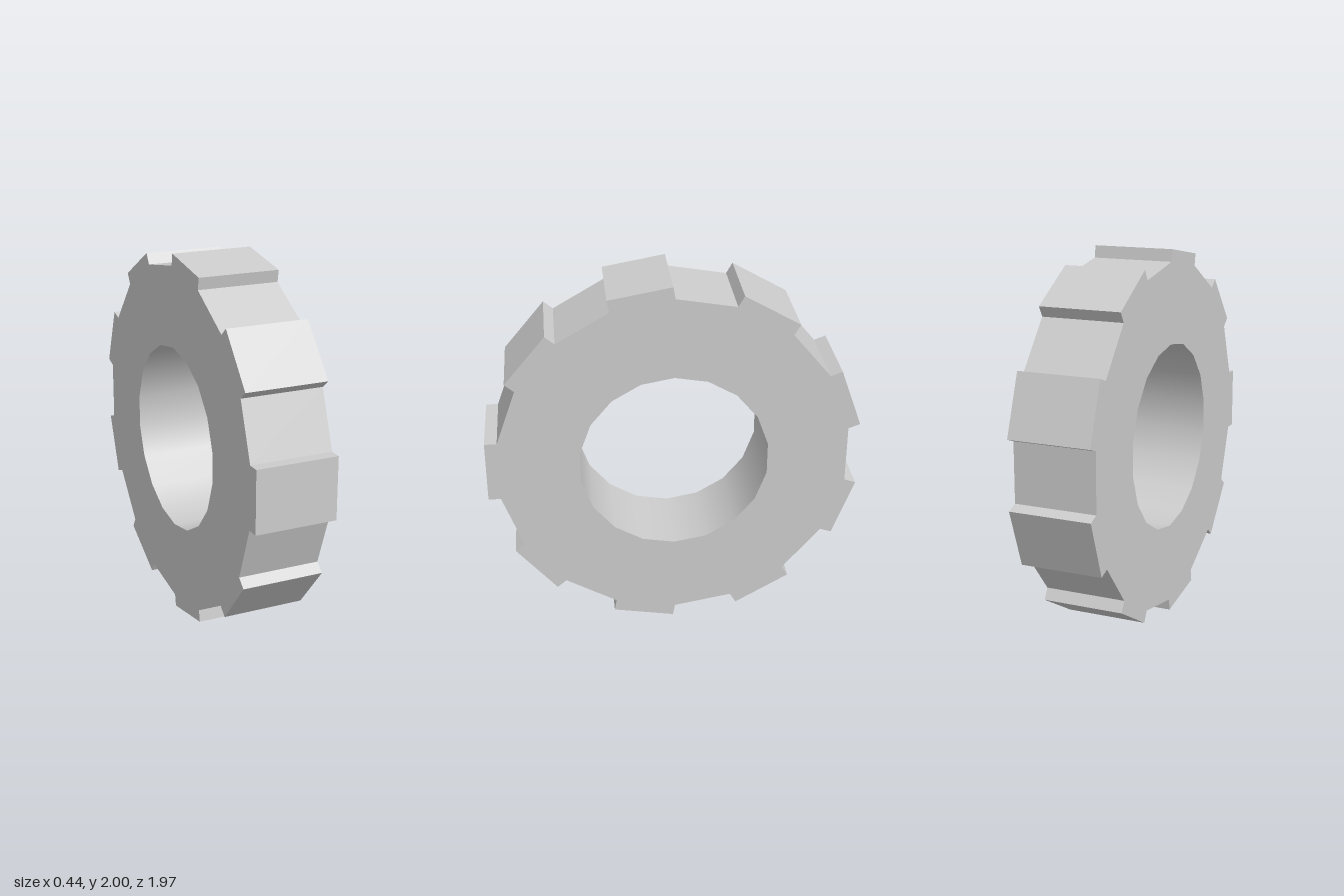
import * as THREE from 'three';

const TEETH = 9;
const HOLE_SIDES = 18;
const HOLE_RADIUS = 0.503;
const ROOT = 0.921;      // distance of the tooth foot from the axle
const TIP = 0.986;       // distance of the flat tooth top
const HALF_TOOTH = 0.167;
const WIDTH = 0.44;

export function createModel() {
  const group = new THREE.Group();
  group.name = 'toothedWheel';

  // Outline: square-sided teeth joined by straight gaps
  const outline = [];
  for (let i = 0; i < TEETH; i++) {
    const angle = (i / TEETH) * Math.PI * 2;
    for (const [r, s] of [[ROOT, -1], [TIP, -1], [TIP, 1], [ROOT, 1]]) {
      outline.push(new THREE.Vector2(r, s * HALF_TOOTH).rotateAround(new THREE.Vector2(), angle));
    }
  }
  const shape = new THREE.Shape(outline);

  // Axle hole, with a flat facing front and back
  const hole = [];
  for (let i = 0; i < HOLE_SIDES; i++) {
    const a = -((i + 0.5) / HOLE_SIDES) * Math.PI * 2;
    hole.push(new THREE.Vector2(Math.cos(a), Math.sin(a)).multiplyScalar(HOLE_RADIUS));
  }
  shape.holes.push(new THREE.Path(hole));

  const geometry = new THREE.ExtrudeGeometry(shape, { depth: WIDTH, bevelEnabled: false });
  geometry.translate(0, 0, -WIDTH / 2);

  // Smooth shading on the hole wall only
  const pos = geometry.attributes.position;
  const nor = geometry.attributes.normal;
  for (let i = 0; i < pos.count; i++) {
    const r = Math.hypot(pos.getX(i), pos.getY(i));
    if (r < 0.6 && Math.abs(nor.getZ(i)) < 0.5) {
      nor.setXYZ(i, -pos.getX(i) / r, -pos.getY(i) / r, 0);
    }
  }

  // Turn the axle along x and stand the wheel on the floor
  geometry.rotateY(-Math.PI / 2);
  const wheel = new THREE.Mesh(geometry, new THREE.MeshStandardMaterial({ color: 0xcccccc }));
  wheel.name = 'wheelBody';
  wheel.position.y = 1;
  group.add(wheel);
  return group;
}
